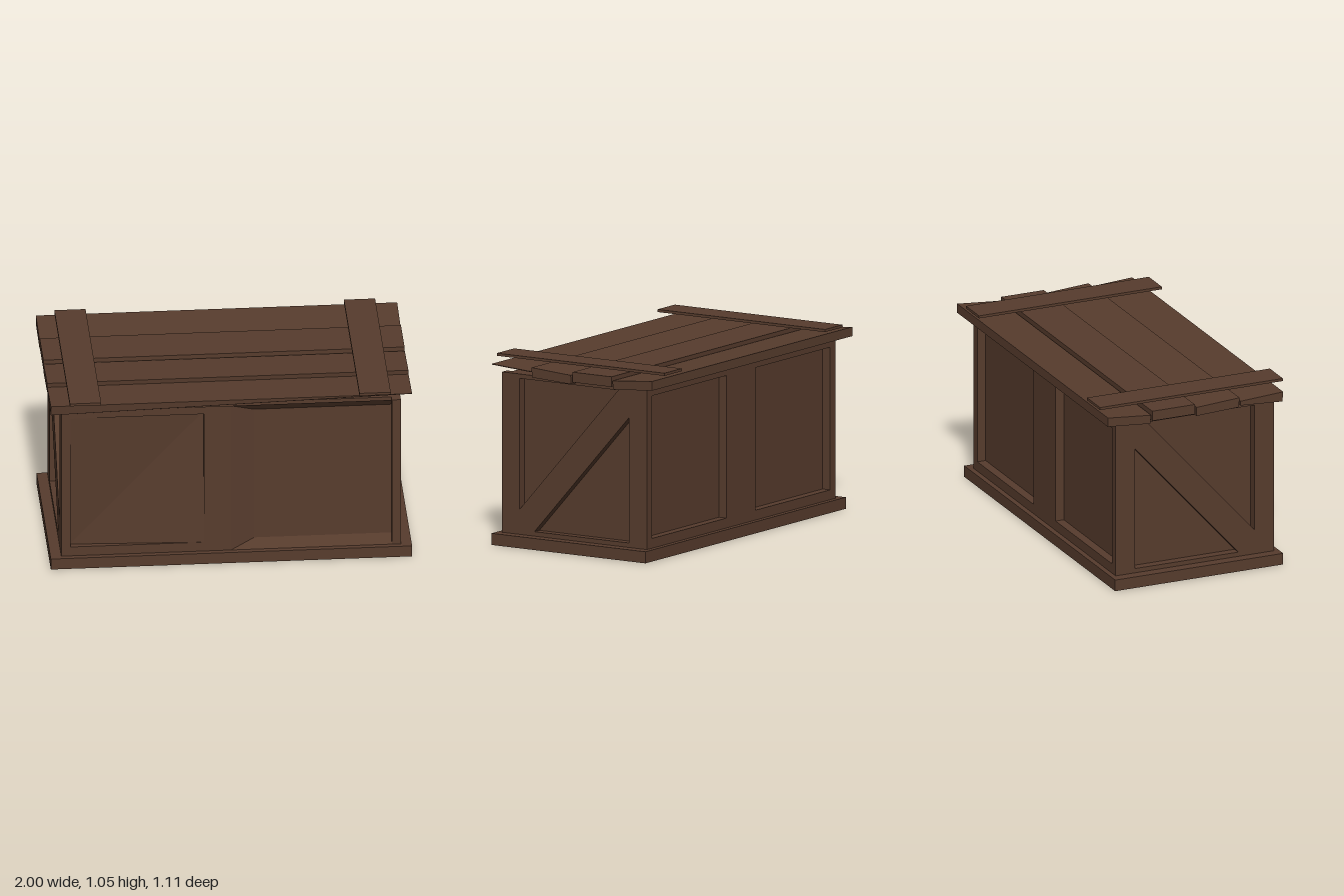
import * as THREE from 'three';

const wood = new THREE.MeshStandardMaterial({ color: 0x573c2d });
wood.name = 'brownWood';

function add(group, name, geometry) {
  const mesh = new THREE.Mesh(geometry, wood);
  mesh.name = name;
  group.add(mesh);
  return mesh;
}

function box(group, name, [x0, x1], [y0, y1], [z0, z1]) {
  const g = new THREE.BoxGeometry(x1 - x0, y1 - y0, z1 - z0);
  g.translate((x0 + x1) / 2, (y0 + y1) / 2, (z0 + z1) / 2);
  return add(group, name, g);
}

const rect = (C, x0, x1, y0, y1) => new C([[x0, y0], [x1, y0], [x1, y1], [x0, y1]].map(p => new THREE.Vector2(...p)));
const extrude = (shape, depth) => new THREE.ExtrudeGeometry(shape, { depth, bevelEnabled: false });

// Flat-shaded surface from quads, each split along its first-to-third corner
function quads(list) {
  const pts = list.flatMap(([a, b, c, d]) => [a, b, c, a, c, d]).flat();
  const g = new THREE.BufferGeometry();
  g.setAttribute('position', new THREE.Float32BufferAttribute(pts, 3));
  g.computeVertexNormals();
  return g;
}

// Ring of quads between two matching counter-clockwise loops
const ring = (outer, inner) => outer.map((p, i) => {
  const j = (i + 1) % outer.length;
  return [p, outer[j], inner[j], inner[i]];
});
const loop = (x0, x1, y0, y1, z) => [[x0, y0, z], [x1, y0, z], [x1, y1, z], [x0, y1, z]];

export function createModel() {
  const model = new THREE.Group();
  model.name = 'crate';
  const Y0 = 0.065, Y1 = 0.965, D = 0.05;

  box(model, 'basePlate', [-1, 1], [0, Y0], [-0.51, 0.51]);
  box(model, 'crateCore', [-0.89, 0.89], [Y0, Y1], [-0.43, 0.43]);

  // End frames with a raised diagonal brace
  for (const s of [1, -1]) {
    const end = new THREE.Group();
    end.name = s > 0 ? 'leftEnd' : 'rightEnd';
    const frame = rect(THREE.Shape, -0.48, 0.48, Y0, Y1);
    frame.holes.push(rect(THREE.Path, -0.363, 0.363, 0.09, 0.94));
    // Shape x runs toward -z on the left end and +z on the right end
    const brace = new THREE.Shape([[-0.363, 0.09], [-0.265, 0.09], [0.363, 0.795], [0.363, 0.94],
      [0.29, 0.94], [-0.363, 0.205]].map(([u, v]) => new THREE.Vector2(u * s, v)));
    add(end, 'endFrame', extrude(frame, D));
    add(end, 'diagonalBrace', extrude(brace, D));
    end.rotation.y = s * Math.PI / 2;
    end.position.x = s * 0.89;
    model.add(end);
  }

  // Back frame with two recessed panels
  const back = rect(THREE.Shape, -0.94, 0.94, Y0, Y1);
  for (const [a, b] of [[-0.89, -0.145], [0.145, 0.89]]) back.holes.push(rect(THREE.Path, a, b, 0.12, 0.92));
  add(model, 'backFrame', extrude(back, D)).position.z = -0.48;

  // Front: left panel warped along its diagonal, right panel sunk with sloping edges
  const Z = 0.48, deep = Z - 0.035;
  const rim = loop(-0.89, -0.15, 0.12, 0.92, Z);
  const warped = rim.map(([x, y], i) => [x, y, i % 2 ? Z : deep]);
  add(model, 'frontWarpedPanel', quads([...ring(loop(-0.94, 0, Y0, Y1, Z), rim), ...ring(rim, warped), warped]));
  const sunk = loop(0.13, 0.9, 0.12, 0.92, deep);
  add(model, 'frontSunkPanel', quads([...ring(loop(0, 0.94, Y0, Y1, Z), sunk), sunk]));
  // Thin walls closing the front toward the core
  for (const x of [-0.915, 0.92]) box(model, 'frontCorner', [x - 0.02, x + 0.02], [Y0, Y1], [0.42, 0.443]);
  box(model, 'frontTopRail', [-0.94, 0.94], [0.93, Y1], [0.42, 0.444]);

  // Lid planks as profiles in z and y: front bottom, back bottom, back top, front top
  const planks = [
    [[0.505, 0.96], [0.25, 0.975], [0.25, 1.0], [0.51, 1.016]],
    [[0.24, 0.967], [-0.018, 0.955], [-0.015, 1.005], [0.245, 1.022]],
    [[-0.027, 0.967], [-0.285, 0.967], [-0.285, 1.024], [-0.027, 1.024]],
    [[-0.297, 0.953], [-0.555, 0.974], [-0.553, 1.025], [-0.292, 1.002]],
  ];
  planks.forEach((profile, n) => {
    const a = profile.map(([z, y]) => [-1, y, z]);
    // The front plank thins out toward its left end
    const b = profile.map(([z, y], i) => [1, n === 0 && i < 2 ? profile[3 - i][1] - 0.004 : y, z]);
    const [a0, a1, a2, a3] = a, [b0, b1, b2, b3] = b;
    add(model, 'lidPlank', quads([
      [a1, b1, b0, a0], [a3, b3, b2, a2], [a0, b0, b3, a3], [a2, b2, b1, a1],
      [b0, b1, b2, b3], [a3, a2, a1, a0],
    ]));
  });

  // Cross straps above the lid
  box(model, 'rightStrap', [-0.898, -0.725], [1.038, 1.053], [-0.555, 0.555]);
  box(model, 'leftStrap', [0.705, 0.878], [1.038, 1.053], [-0.555, 0.555]);
  return model;
}
